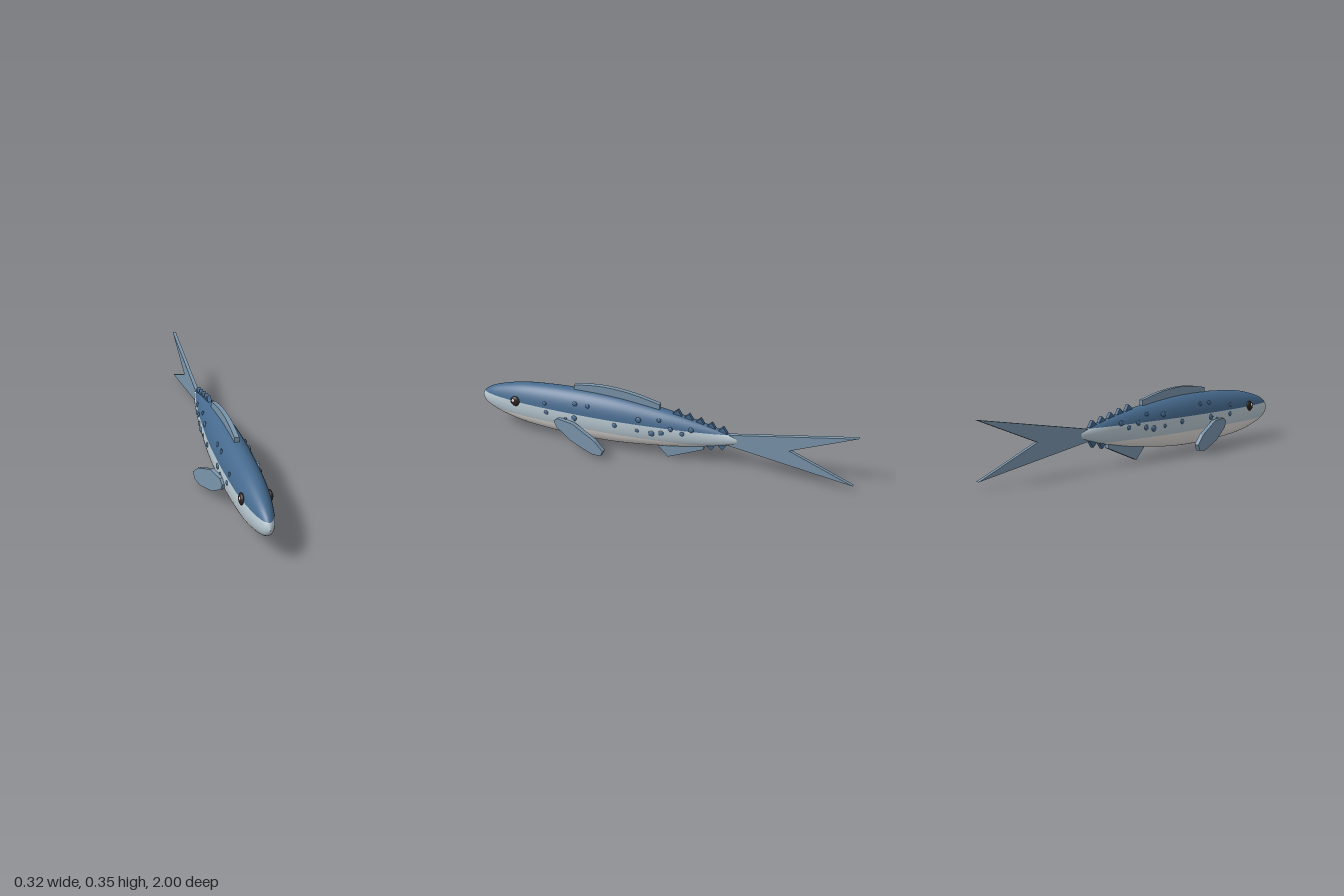
import * as THREE from 'three';

const paint = (name, color) => {
  const m = new THREE.MeshStandardMaterial({ color });
  m.name = name;
  return m;
};

const MID_Y = 0.167;    // height of the body axis
const RATIO = 1.61;     // body height over width
const BANDS = [-1, 0.117, 0.197, 1]; // heights where the body colour changes

// Half-width of the body along its length, nose to tail
const PROFILE = new THREE.SplineCurve([
  [1, 0], [0.985, 0.018], [0.955, 0.033], [0.9, 0.048], [0.8, 0.065], [0.7, 0.075], [0.55, 0.082],
  [0.38, 0.085], [0.2, 0.081], [0, 0.067], [-0.1, 0.058], [-0.2, 0.046], [-0.3, 0.032],
  [-0.39, 0.016], [-0.415, 0.009], [-0.42, 0],
].map(([z, w]) => new THREE.Vector2(z, w))).getPoints(90);

function halfWidth(z) {
  const i = Math.max(1, PROFILE.findIndex((p) => p.x <= z));
  const a = PROFILE[i - 1], b = PROFILE[i];
  return THREE.MathUtils.mapLinear(z, a.x, b.x, a.y, b.y);
}

// x of the body skin at a given length and height
function skinX(z, y) {
  const w = halfWidth(z);
  return w * Math.sqrt(Math.max(0, 1 - ((y - MID_Y) / (w * RATIO)) ** 2));
}

// Elliptical rings, cut at the colour heights, one group per colour
function bodyGeometry() {
  const pos = [], nor = [], index = [], geo = new THREE.BufferGeometry();
  const rows = 10, n = new THREE.Vector3();
  for (let band = 0; band < 3; band++) {
    const start = index.length;
    for (const side of [1, -1]) {
      const base = pos.length / 3;
      PROFILE.forEach((p, i) => {
        const w = Math.max(p.y, 1e-4), h = w * RATIO;
        const before = PROFILE[Math.max(i - 1, 0)], after = PROFILE[Math.min(i + 1, PROFILE.length - 1)];
        const slope = (after.y - before.y) / (after.x - before.x);
        const angle = (y) => Math.asin(THREE.MathUtils.clamp((y - MID_Y) / h, -1, 1));
        const a0 = angle(BANDS[band]), a1 = angle(BANDS[band + 1]);
        for (let j = 0; j <= rows; j++) {
          const a = a0 + (a1 - a0) * j / rows;
          pos.push(side * w * Math.cos(a), MID_Y + h * Math.sin(a), p.x);
          n.set(side * Math.cos(a), Math.sin(a) / RATIO, -slope).normalize();
          nor.push(n.x, n.y, n.z);
          if (i && j) {
            const d = base + i * (rows + 1) + j, c = d - 1, b = d - rows - 1, e = b - 1;
            if (side > 0) index.push(e, c, b, b, c, d);
            else index.push(e, b, c, b, d, c);
          }
        }
      });
    }
    geo.addGroup(start, index.length - start, band);
  }
  geo.setAttribute('position', new THREE.Float32BufferAttribute(pos, 3));
  geo.setAttribute('normal', new THREE.Float32BufferAttribute(nor, 3));
  geo.setIndex(index);
  return geo;
}

// Flat plate from an outline in (z, y), centred on its thickness
function plate(name, shape, thickness, material) {
  const geo = new THREE.ExtrudeGeometry(shape, { depth: thickness, bevelEnabled: false, curveSegments: 10 });
  geo.translate(0, 0, -thickness / 2);
  const mesh = new THREE.Mesh(geo, material);
  mesh.rotation.y = -Math.PI / 2;
  mesh.name = name;
  return mesh;
}
const outline = (points) => new THREE.Shape(points.map(([z, y]) => new THREE.Vector2(z, y)));

function ball(name, radius, flat, material, x, y, z) {
  const mesh = new THREE.Mesh(new THREE.SphereGeometry(radius, 16, 12), material);
  mesh.scale.x = flat;
  mesh.position.set(x, y, z);
  mesh.name = name;
  return mesh;
}

export function createModel() {
  const model = new THREE.Group();
  model.name = 'fish';
  const back = paint('backBlue', 0x466a8e);
  const flank = paint('flankSilver', 0xb9c9d2);
  const belly = paint('bellyWhite', 0xe6e2de);
  const fin = paint('finBlue', 0x7a95ab);
  const dark = paint('eyeDark', 0x2a211e);
  const white = paint('eyeGlint', 0xffffff);

  const body = new THREE.Mesh(bodyGeometry(), [belly, flank, back]);
  body.name = 'body';
  model.add(body);

  // Dorsal fin with a curved top edge
  const dorsal = outline([[-0.01, 0.24], [0.455, 0.27], [0.455, 0.327]]);
  dorsal.splineThru([[0.36, 0.341], [0.26, 0.345], [0.13, 0.332], [-0.01, 0.3]].map(([z, y]) => new THREE.Vector2(z, y)));
  model.add(plate('dorsalFin', dorsal, 0.023, fin));

  // Anal fin and forked tail
  model.add(plate('analFin', outline([[0, 0.1], [0, 0.057], [-0.055, 0], [-0.245, 0.084], [-0.245, 0.13]]), 0.023, fin));
  model.add(plate('tailFin', outline([[-0.35, 0.192], [-0.35, 0.137], [-1, 0.036], [-0.675, 0.17], [-1, 0.309]]), 0.018, fin));

  // Finlets in front of the tail, above and below
  for (let i = 0; i < 5; i++) {
    const z = -0.105 - i * 0.059, rise = 0.121 - i * 0.0135;
    for (const up of [1, -1]) {
      const y = (r) => MID_Y + up * r;
      model.add(plate('finlet', outline([
        [z + 0.04, y(rise - 0.037)], [z, y(rise)], [z - 0.024, y(rise - 0.037)], [z - 0.01, y(rise - 0.065)],
      ]), 0.02, back));
    }
  }

  // Pectoral fins, swept outward to the rear
  const sweep = Math.atan(0.235);
  const paddle = outline([
    [0, 0.14], [-0.025, 0.161], [-0.12, 0.16], [-0.25, 0.102], [-0.3, 0.057], [-0.285, 0.025],
    [-0.23, 0.017], [-0.105, 0.052], [-0.015, 0.107],
  ].map(([z, y]) => [z / Math.cos(sweep), y]));

  // Spots on the flanks: length, height, radius
  const spots = [
    [0.6, 0.223, 0.011], [0.59, 0.175, 0.012], [0.43, 0.25, 0.013], [0.36, 0.25, 0.012], [0.43, 0.175, 0.015],
    [0.48, 0.16, 0.01], [0.21, 0.175, 0.013], [0.085, 0.223, 0.015], [0.09, 0.165, 0.01], [-0.02, 0.234, 0.012],
    [0.015, 0.16, 0.016], [-0.035, 0.17, 0.014], [-0.082, 0.197, 0.013], [-0.142, 0.18, 0.012], [-0.185, 0.205, 0.014],
  ];

  for (const side of [1, -1]) {
    const pectoral = plate('pectoralFin', paddle, 0.021, fin);
    pectoral.position.set(side * 0.081, 0, 0.543);
    pectoral.rotation.y -= side * sweep;
    model.add(pectoral);

    for (const [z, y, r] of spots) model.add(ball('spot', r, 0.5, back, side * skinX(z, y), y, z));

    model.add(ball('eye', 0.028, 0.5, dark, side * 0.063, 0.197, 0.775));
    model.add(ball('eyeGlint', 0.009, 0.7, white, side * 0.0725, 0.205, 0.782));
  }
  return model;
}
